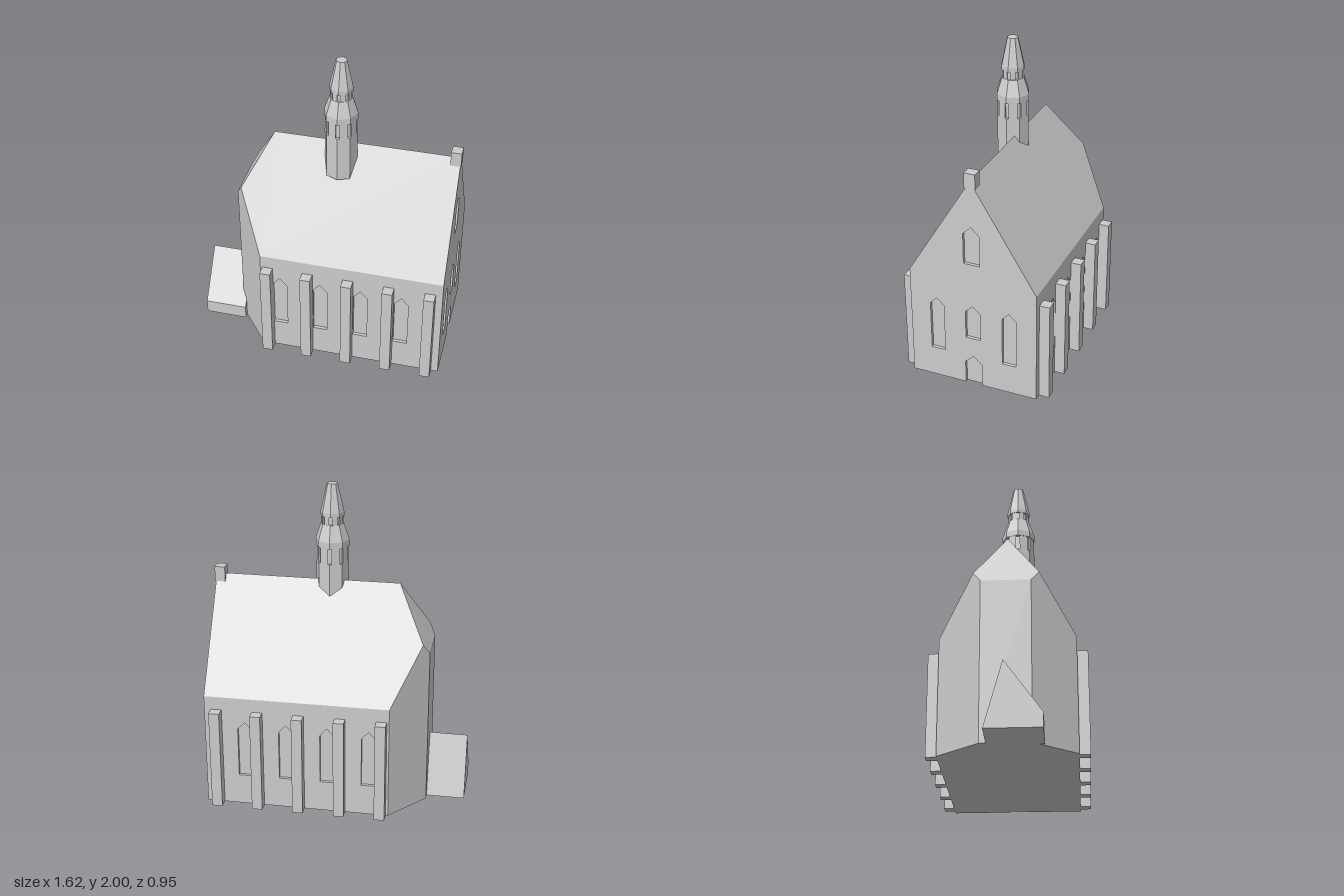
import * as THREE from 'three';
import { ConvexGeometry } from 'three/addons/geometries/ConvexGeometry.js';

const EAVES = 0.73, RIDGE = 1.4, HALF = 0.41, APSE = -0.36, GABLE = 0.8, RECESS = 0.02;

export function createModel() {
  const group = new THREE.Group();
  const stone = new THREE.MeshStandardMaterial({ color: 0xcccccc });
  stone.name = 'grey stone';

  const add = (name, geometry, x = 0, y = 0, z = 0, turn = 0) => {
    const mesh = new THREE.Mesh(geometry, stone);
    mesh.name = name;
    mesh.position.set(x, y, z);
    mesh.rotation.y = turn;
    group.add(mesh);
    return mesh;
  };
  const polygon = (points) => new THREE.Shape(points.map(([x, y]) => new THREE.Vector2(x, y)));
  const extrude = (shape, depth) => new THREE.ExtrudeGeometry(shape, { depth, bevelEnabled: false });
  const box = (name, x0, x1, y0, y1, z0, z1) =>
    add(name, new THREE.BoxGeometry(x1 - x0, y1 - y0, z1 - z0), (x0 + x1) / 2, (y0 + y1) / 2, (z0 + z1) / 2);
  // Pointed opening cut into a wall panel
  const pointed = (u, half, bottom, shoulder, peak) => polygon([
    [u - half, bottom], [u + half, bottom], [u + half, shoulder], [u, peak], [u - half, shoulder],
  ]);

  // Nave core and main roof
  box('nave', APSE, GABLE - RECESS, 0, EAVES, -HALF + RECESS, HALF - RECESS);
  add('roof', extrude(polygon([[-HALF, EAVES], [HALF, EAVES], [0, RIDGE]]), GABLE - RECESS - APSE),
    APSE, 0, 0, Math.PI / 2);

  // Long walls with four recessed windows each
  for (const side of [1, -1]) {
    const a = APSE * side, b = (GABLE - RECESS) * side;
    const wall = polygon([[a, 0], [b, 0], [b, EAVES], [a, EAVES]]);
    for (let i = 0; i < 4; i++) {
      wall.holes.push(pointed((-0.235 + i * 0.26) * side, 0.045, 0.2, 0.52, 0.57));
    }
    add(side > 0 ? 'frontWall' : 'backWall', extrude(wall, RECESS),
      0, 0, side * (HALF - RECESS), side > 0 ? 0 : Math.PI);
  }

  // Gable wall with doorway and windows
  const gable = polygon([
    [-HALF, 0], [-0.055, 0], [-0.055, 0.15], [0, 0.2], [0.055, 0.15], [0.055, 0],
    [HALF, 0], [HALF, EAVES], [0, RIDGE], [-HALF, EAVES],
  ]);
  gable.holes.push(
    pointed(-0.235, 0.045, 0.2, 0.52, 0.565), pointed(0.235, 0.045, 0.2, 0.52, 0.565),
    pointed(0, 0.048, 0.33, 0.515, 0.56), pointed(0, 0.052, 0.85, 1.05, 1.1),
  );
  add('gableWall', extrude(gable, RECESS), GABLE - RECESS, 0, 0, Math.PI / 2);

  // Faceted apse with its hipped roof
  const apse = [new THREE.Vector3(APSE, RIDGE, 0)];
  for (const s of [1, -1]) {
    for (const [x, y, z] of [
      [APSE, 0, HALF], [APSE, EAVES, HALF], [-0.57, 0, 0.15], [-0.57, 1.01, 0.15], [-0.532, 1.079, 0.197],
    ]) apse.push(new THREE.Vector3(x, y, z * s));
  }
  add('apse', new ConvexGeometry(apse));

  // Lopsided lean-to beyond the apse
  add('annex', extrude(polygon([[-0.22, 0], [0.11, 0], [0, 0.4], [-0.22, 0.09]]), 0.27),
    -0.81, 0, 0, Math.PI / 2);

  // Buttresses along both sides
  for (const x of [-0.313, -0.056, 0.204, 0.464, 0.723]) {
    box('frontButtress', x - 0.033, x + 0.033, 0, 0.645, HALF - 0.01, 0.475);
    box('backButtress', x - 0.033, x + 0.033, 0, 0.645, -0.475, -HALF + 0.01);
  }

  // Block on the gable tip
  box('gableFinial', 0.74, 0.805, 1.355, 1.45, -0.035, 0.035);

  // Octagonal turret, stacked in tiers
  const tx = 0.07, tz = 0.045;
  const tier = (name, y0, y1, r0, r1) => {
    const geometry = new THREE.CylinderGeometry(r1, r0, y1 - y0, 8).toNonIndexed();
    geometry.computeVertexNormals();
    add(name, geometry, tx, (y0 + y1) / 2, tz);
  };
  // Tier whose corners are notched by narrow openings
  const lantern = (name, y0, y1, r, half, depth) => {
    const points = [];
    for (let i = 0; i < 8; i++) {
      const a = (i * Math.PI) / 4;
      const edge = r - half * Math.tan(Math.PI / 8);
      for (const [d, t] of [[edge, -half], [r - depth, -half], [r - depth, half], [edge, half]]) {
        points.push([d * Math.cos(a) - t * Math.sin(a), d * Math.sin(a) + t * Math.cos(a)]);
      }
    }
    const geometry = extrude(polygon(points), y1 - y0);
    geometry.rotateX(-Math.PI / 2);
    add(name, geometry, tx, y0, tz);
  };
  tier('turretShaft', 1.21, 1.51, 0.102, 0.102);
  lantern('lowerLantern', 1.51, 1.61, 0.102, 0.012, 0.018);
  tier('turretCollar', 1.61, 1.65, 0.105, 0.105);
  tier('turretShoulder', 1.65, 1.75, 0.105, 0.072);
  lantern('upperLantern', 1.75, 1.8, 0.07, 0.01, 0.014);
  tier('spireCollar', 1.8, 1.825, 0.073, 0.073);
  tier('spire', 1.825, 2, 0.073, 0.034);

  return group;
}
